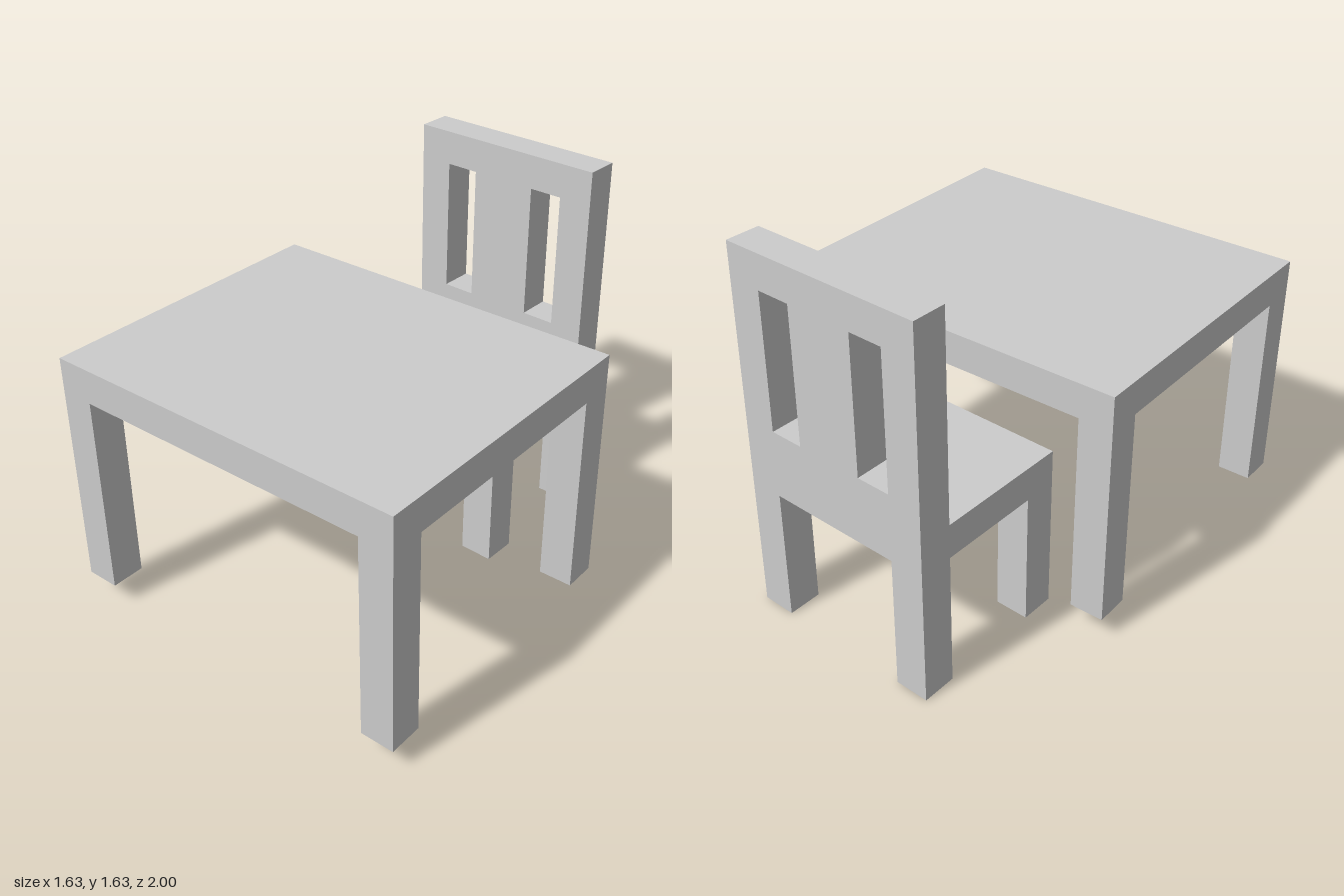
import * as THREE from 'three';

const U = 0.1478; // every part is a whole number of these units
const material = new THREE.MeshStandardMaterial({ color: 0xcccccc, flatShading: true });

// Box given by its low corner and size, in units
function addBox(group, name, [x, y, z], [w, h, d]) {
  const mesh = new THREE.Mesh(new THREE.BoxGeometry(w * U, h * U, d * U), material);
  mesh.position.set((x + w / 2) * U, (y + h / 2) * U, (z + d / 2) * U);
  mesh.name = name;
  group.add(mesh);
}

function createTable() {
  const table = new THREE.Group();
  table.name = 'table';
  addBox(table, 'tableTop', [-5.5, 6, -4.5], [11, 1, 9]);
  for (const x of [-5.5, 4.5])
    for (const z of [-4.5, 3.5]) addBox(table, 'tableLeg', [x, 0, z], [1, 6, 1]);
  return table;
}

function createChair() {
  const chair = new THREE.Group();
  chair.name = 'chair';

  // Seat and front legs
  addBox(chair, 'seat', [-3, 4, -1.5], [6, 1, 4]);
  for (const x of [-3, 2]) addBox(chair, 'chairFrontLeg', [x, 0, 1.5], [1, 4, 1]);

  // Backrest and rear legs in one slab, with two tall slots
  const toPoints = (list) => list.map(([x, y]) => new THREE.Vector2(x * U, y * U));
  const outline = new THREE.Shape(toPoints([
    [-3, 0], [-2, 0], [-2, 4], [2, 4], [2, 0], [3, 0], [3, 11], [-3, 11],
  ]));
  for (const x of [-2, 1])
    outline.holes.push(new THREE.Path(toPoints([[x, 6], [x, 10], [x + 1, 10], [x + 1, 6]])));
  const back = new THREE.Mesh(
    new THREE.ExtrudeGeometry(outline, { depth: U, bevelEnabled: false }), material);
  back.position.z = -2.5 * U;
  back.name = 'backrestAndRearLegs';
  chair.add(back);
  return chair;
}

export function createModel() {
  const model = new THREE.Group();
  model.name = 'tableAndChair';

  const table = createTable();
  table.position.set(0, 0.103, 0.335);

  // The chair stands slightly turned, partly under the table
  const chair = createChair();
  chair.position.set(-0.052, 0, -0.613);
  chair.rotation.y = -0.04;

  model.add(table, chair);
  return model;
}
